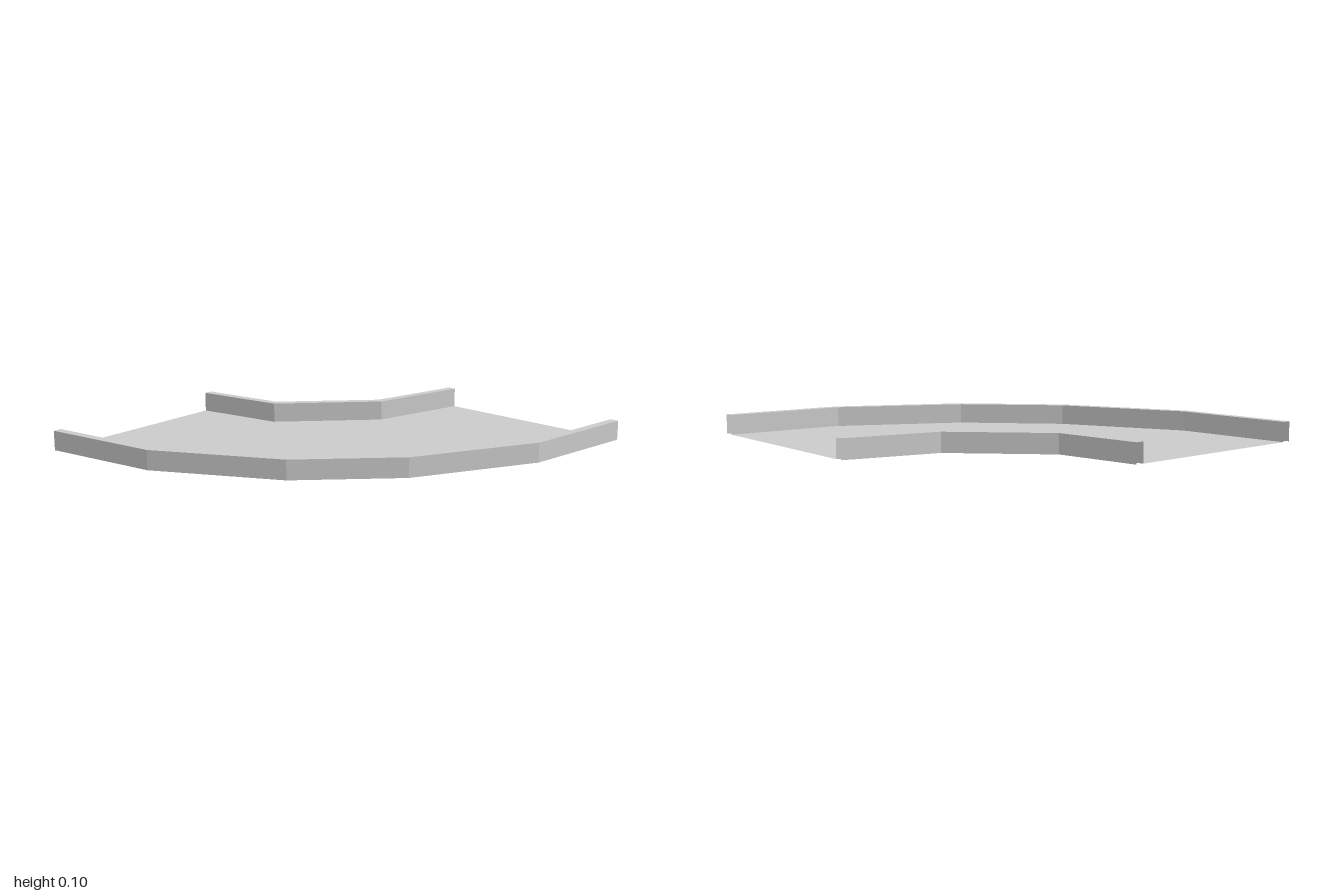
import * as THREE from 'three';

const HEIGHT = 0.1;

// Plan outlines as [x, z], running from the back end to the side end
const outerEdge = [[-1, -1], [-0.917, -0.402], [-0.599, 0.198], [-0.198, 0.599], [0.402, 0.917], [1, 1]];
const outerFloor = [[-0.957, -1], [-0.877, -0.413], [-0.563, 0.174], [-0.176, 0.563], [0.408, 0.876], [1, 0.955]];
const innerFloor = [[0.021, -1], [0.1, -0.552], [0.512, -0.152], [1, -0.026]];
const innerEdge = [[0.063, -1], [0.138, -0.574], [0.53, -0.19], [1, -0.067]];

const material = new THREE.MeshStandardMaterial({
  color: 0xcccccc, flatShading: true, side: THREE.DoubleSide,
});

// Hollow kerb: a channel open at the bottom and ends, swept between two outlines.
// `right` lies on the right-hand side of the direction of travel.
function makeKerb(name, right, left) {
  const section = (i) => [
    [right[i][0], 0, right[i][1]],
    [right[i][0], HEIGHT, right[i][1]],
    [left[i][0], HEIGHT, left[i][1]],
    [left[i][0], 0, left[i][1]],
  ];
  const positions = [];
  for (let i = 0; i < right.length - 1; i++) {
    const a = section(i);
    const b = section(i + 1);
    for (let k = 0; k < 3; k++) {
      positions.push(...a[k], ...b[k], ...b[k + 1], ...a[k], ...b[k + 1], ...a[k + 1]);
    }
  }
  const geometry = new THREE.BufferGeometry();
  geometry.setAttribute('position', new THREE.Float32BufferAttribute(positions, 3));
  geometry.computeVertexNormals();
  const mesh = new THREE.Mesh(geometry, material);
  mesh.name = name;
  return mesh;
}

// Flat road sheet between the two kerbs
function makeFloor() {
  const outline = [...outerFloor, ...[...innerFloor].reverse()];
  const shape = new THREE.Shape(outline.map(([x, z]) => new THREE.Vector2(x, -z)));
  const geometry = new THREE.ShapeGeometry(shape);
  geometry.rotateX(-Math.PI / 2);
  const mesh = new THREE.Mesh(geometry, material);
  mesh.name = 'floor';
  return mesh;
}

export function createModel() {
  const group = new THREE.Group();
  group.name = 'curvedTrack';
  group.add(
    makeFloor(),
    makeKerb('outerKerb', outerEdge, outerFloor),
    makeKerb('innerKerb', innerFloor, innerEdge),
  );
  return group;
}
